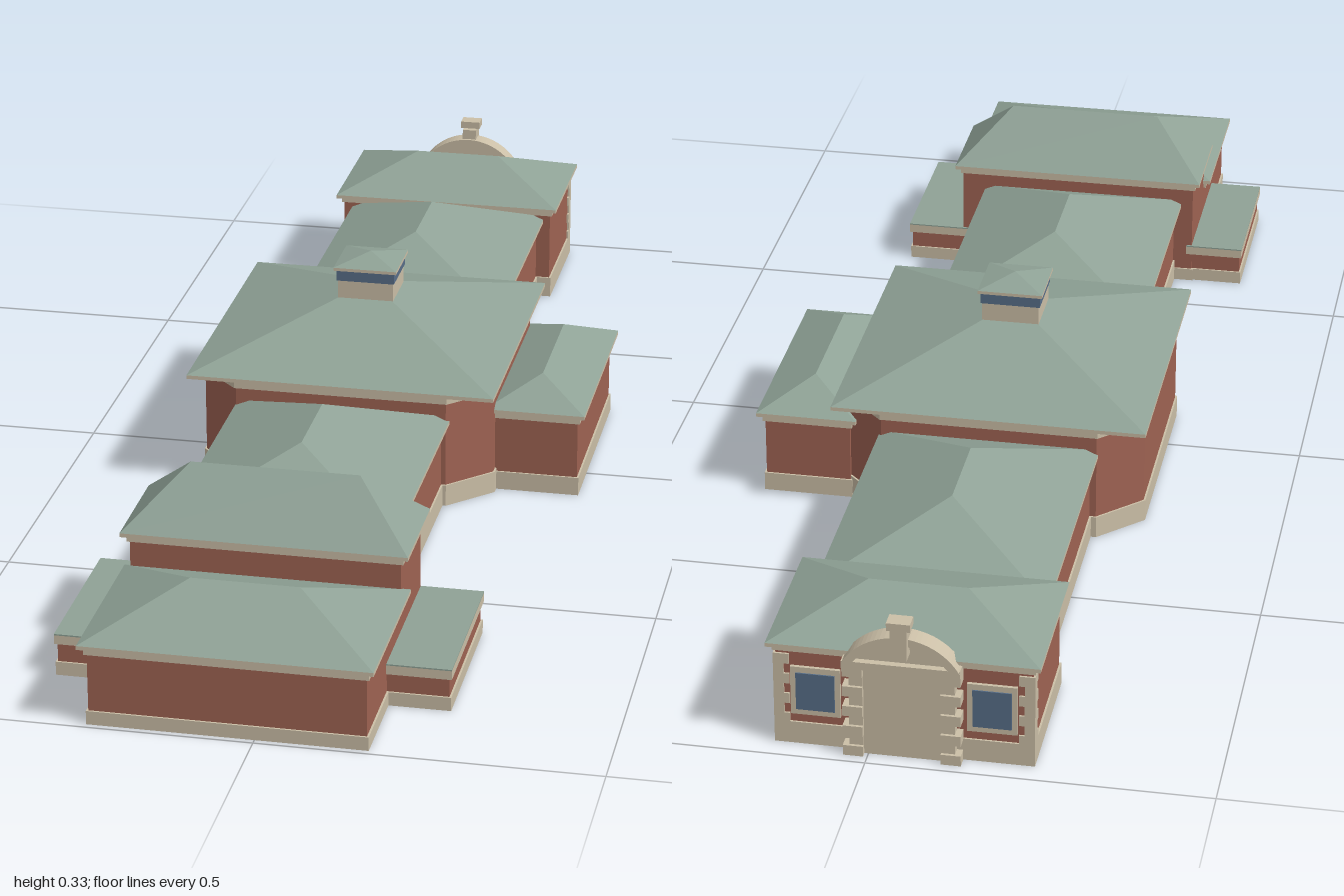
import * as THREE from 'three';

const mat = (name, color, side = THREE.FrontSide) => {
  const m = new THREE.MeshStandardMaterial({ color, side });
  m.name = name;
  return m;
};

export function createModel() {
  const brick = mat('brick', 0x9f6353, THREE.DoubleSide);
  const stone = mat('stone', 0xcbbfa7, THREE.DoubleSide);
  const slate = mat('roofing', 0x8fa296, THREE.DoubleSide);
  const glass = mat('glass', 0x586e88);
  const model = new THREE.Group();
  const CX = -0.05; // long axis of the building

  const add = (parent, name, geometry, material) => {
    const mesh = new THREE.Mesh(geometry, material);
    mesh.name = name;
    parent.add(mesh);
    return mesh;
  };
  const box = (parent, name, material, x0, x1, y0, y1, z0, z1) =>
    add(parent, name, new THREE.BoxGeometry(x1 - x0, y1 - y0, z1 - z0), material)
      .position.set((x0 + x1) / 2, (y0 + y1) / 2, (z0 + z1) / 2);

  // Flat-faced skin through successive outlines of [x, y, z] corners
  const loft = (...rings) => {
    const pos = [];
    const tri = (a, b, c) => {
      const [A, B, C] = [a, b, c].map(p => new THREE.Vector3(...p));
      if (B.sub(A).cross(C.sub(A)).length() > 1e-8) pos.push(...a, ...b, ...c);
    };
    for (let r = 0; r + 1 < rings.length; r++) {
      const lo = rings[r], hi = rings[r + 1], n = lo.length;
      for (let i = 0; i < n; i++) {
        const j = (i + 1) % n;
        tri(lo[i], lo[j], hi[j]);
        tri(lo[i], hi[j], hi[i]);
      }
    }
    const g = new THREE.BufferGeometry();
    g.setAttribute('position', new THREE.Float32BufferAttribute(pos, 3));
    g.computeVertexNormals();
    return g;
  };

  // Rectangular outline, grown by o, with optional cut corners of size c
  const outline = ([x0, x1, z0, z1], y, o = 0, c = 0) => {
    const a = x0 - o, b = x1 + o, d = z0 - o, e = z1 + o;
    if (!c) return [[a, y, e], [b, y, e], [b, y, d], [a, y, d]];
    c += o * 0.586;
    return [[a + c, y, e], [b - c, y, e], [b, y, e - c], [b, y, d + c],
      [b - c, y, d], [a + c, y, d], [a, y, d + c], [a, y, e - c]];
  };

  // One block: open brick shell, stone plinth, cornice, eave slab and hip roof
  const block = (name, rect, { base, wall, eave, top, ridge, cut = 0 }) => {
    const g = new THREE.Group();
    g.name = name;
    model.add(g);
    const out = (y, o) => outline(rect, y, o, cut);
    add(g, 'walls', loft(out(base, 0), out(wall, 0)), brick);
    add(g, 'plinth', loft(out(0, 0), out(0, 0.003), out(base, 0.003), out(base, 0)), stone);
    add(g, 'plinthLining', loft(out(0, 0), out(base, 0)), stone);
    add(g, 'cornice', loft(out(wall, 0), out(wall, 0.004), out(eave - 0.006, 0.004)), stone);
    const [x0, x1, z0, z1] = rect, o = 0.012;
    box(g, 'eaveSlab', stone, x0 - o, x1 + o, eave - 0.006, eave, z0 - o, z1 + o);
    add(g, 'hipRoof', loft(outline(rect, eave, o), outline(ridge, top)), slate);
    return g;
  };

  block('frontBlock', [-0.241, 0.161, 0.742, 0.988],
    { base: 0.021, wall: 0.11, eave: 0.127, top: 0.182, ridge: [-0.12, 0.04, 0.865, 0.865] });
  block('tallBlock', [-0.241, 0.161, 0.595, 0.742],
    { base: 0.021, wall: 0.172, eave: 0.188, top: 0.272, ridge: [-0.166, 0.086, 0.668, 0.668] });
  block('frontHall', [-0.209, 0.111, 0.155, 0.6],
    { base: 0.035, wall: 0.128, eave: 0.143, top: 0.217, ridge: [CX, CX, 0.3, 0.447] });
  block('backHall', [-0.209, 0.111, -0.75, -0.305],
    { base: 0.035, wall: 0.128, eave: 0.143, top: 0.217, ridge: [CX, CX, -0.602, -0.455] });
  block('centralBlock', [-0.284, 0.183, -0.312, 0.164],
    { base: 0.035, wall: 0.174, eave: 0.193, top: 0.275, ridge: [CX, CX, -0.075, -0.075], cut: 0.065 });
  block('sideWing', [0.18, 0.315, -0.257, 0.084],
    { base: 0.03, wall: 0.123, eave: 0.14, top: 0.177, ridge: [0.248, 0.248, -0.19, 0.018] });
  const back = block('backBlock', [-0.235, 0.135, -0.963, -0.745],
    { base: 0.035, wall: 0.152, eave: 0.167, top: 0.216, ridge: [-0.123, 0.022, -0.856, -0.856] });

  // Low flat-roofed annexes on both sides of the tall block
  for (const [name, x0, x1] of [['rightAnnex', -0.324, -0.236], ['leftAnnex', 0.156, 0.252]]) {
    const g = new THREE.Group(), rect = [x0, x1, 0.598, 0.848];
    g.name = name;
    model.add(g);
    add(g, 'walls', loft(outline(rect, 0.021), outline(rect, 0.05)), brick);
    add(g, 'plinth', loft(outline(rect, 0, 0.003), outline(rect, 0.021, 0.003), outline(rect, 0.021)), stone);
    box(g, 'roofSlab', stone, x0 - 0.004, x1 + 0.004, 0.05, 0.064, 0.592, 0.852);
    box(g, 'flatRoof', slate, x0 - 0.004, x1 + 0.004, 0.064, 0.066, 0.592, 0.852);
  }

  // Lantern on the central roof
  const lantern = new THREE.Group();
  lantern.name = 'lantern';
  lantern.position.set(CX, 0, -0.075);
  model.add(lantern);
  const tier = (name, m, r, y0, y1) => box(lantern, name, m, -r, r, y0, y1, -r, r);
  tier('lanternBase', stone, 0.045, 0.24, 0.29);
  tier('lanternWindows', glass, 0.047, 0.29, 0.308);
  tier('lanternEave', stone, 0.051, 0.308, 0.313);
  add(lantern, 'lanternRoof',
    loft(outline([-0.051, 0.051, -0.051, 0.051], 0.313), outline([0, 0, 0, 0], 0.327)), slate);

  // Entrance portal on the back face
  const portal = new THREE.Group();
  portal.name = 'portal';
  portal.position.x = CX;
  back.add(portal);
  box(portal, 'doorPanel', stone, -0.06, 0.06, 0, 0.148, -0.975, -0.96);
  box(portal, 'lintel', stone, -0.085, 0.085, 0.146, 0.158, -0.988, -0.96);
  const arc = (r, start, cy, inner) => {
    const s = new THREE.Shape();
    s.absarc(0, cy, r, start, Math.PI - start, false);
    if (inner) s.absarc(0, cy, inner, Math.PI - start, start, true);
    return s;
  };
  const archPart = (name, shape, depth) => add(portal, name,
    new THREE.ExtrudeGeometry(shape, { depth, bevelEnabled: false, curveSegments: 14 }), stone)
    .position.z = -0.96 - depth;
  archPart('archBand', arc(0.0972, 0.507, 0.1078, 0.085), 0.03);
  archPart('tympanum', arc(0.088, 0.56, 0.1078), 0.018);
  box(portal, 'keystone', stone, -0.012, 0.012, 0.175, 0.222, -1, -0.965);
  box(portal, 'keystoneCap', stone, -0.017, 0.017, 0.222, 0.234, -1, -0.975);

  // Mirrored stone blocks, corner quoins and windows
  for (const s of [-1, 1]) {
    const side = (name, m, a, b, y0, y1, z0, z1) =>
      box(portal, name, m, Math.min(s * a, s * b), Math.max(s * a, s * b), y0, y1, z0, z1);
    for (let i = 0; i < 9; i++) {
      const y = i * 0.0163, wide = i % 2 ? 0 : 0.009;
      side('portalBlock', stone, 0.056, 0.076 + wide, y, y + 0.0163, -0.98 - wide * 0.5, -0.96);
      if (i > 1) {
        side('quoin', stone, 0.165 + (i % 2) * 0.008, 0.188, y, y + 0.0163, -0.966, -0.94 - (i % 2) * 0.008);
      }
    }
    side('windowFrame', stone, 0.091, 0.163, 0.05, 0.128, -0.968, -0.96);
    side('windowGlass', glass, 0.099, 0.155, 0.059, 0.119, -0.97, -0.962);
  }
  return model;
}
